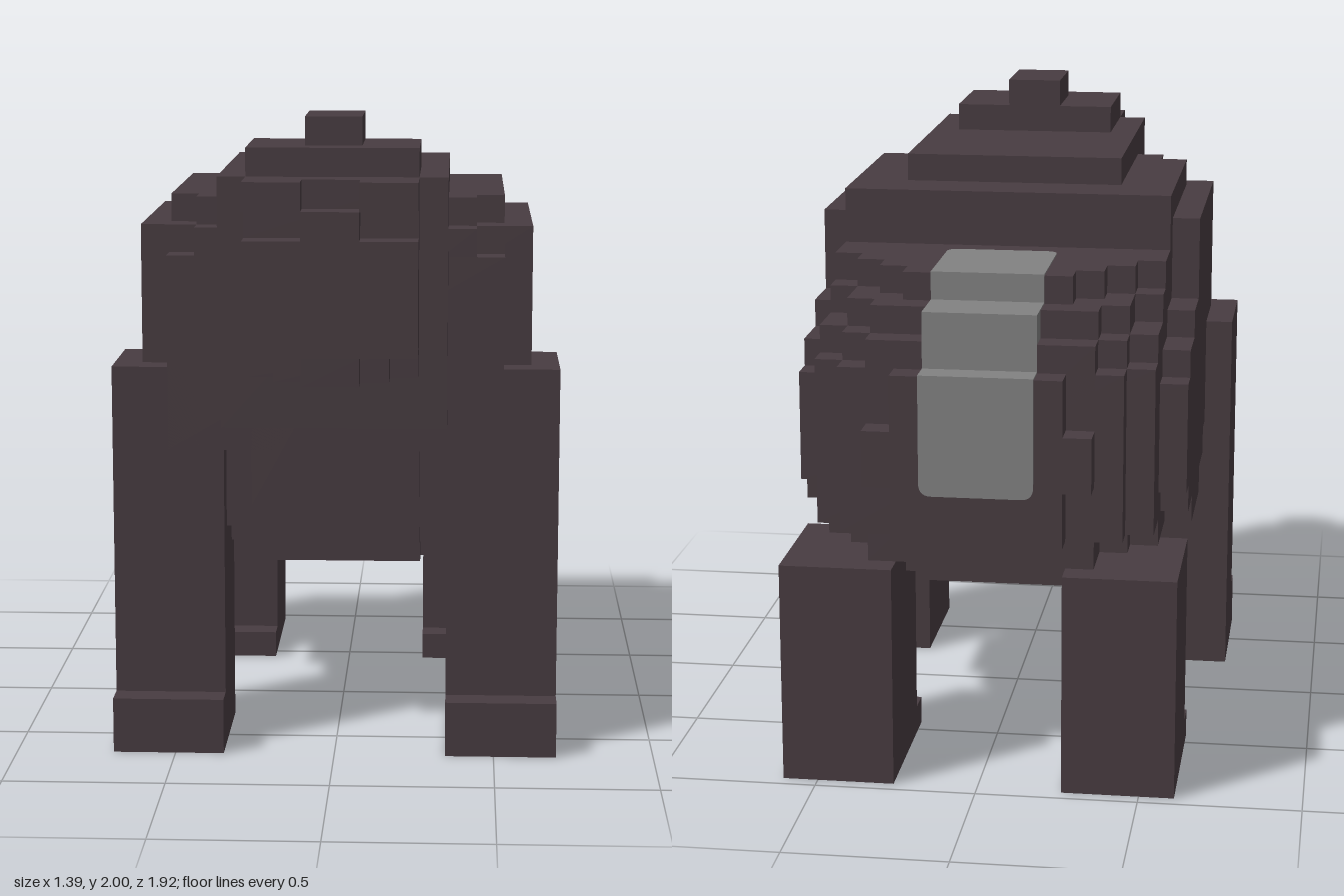
import * as THREE from 'three';

const U = 2 / 23; // one block

export function createModel() {
  const model = new THREE.Group();
  model.name = 'blockApe';
  const fur = new THREE.MeshStandardMaterial({ color: 0x483c41 });
  fur.name = 'darkFur';
  const silver = new THREE.MeshStandardMaterial({ color: 0x828282 });
  silver.name = 'silverFur';

  const add = (name, geometry, material = fur, parent = model) => {
    const mesh = new THREE.Mesh(geometry, material);
    mesh.name = name;
    parent.add(mesh);
    return mesh;
  };
  // Box given by its limits in blocks
  const box = (name, x0, x1, y0, y1, z0, z1, material = fur, parent = model) => {
    const g = new THREE.BoxGeometry((x1 - x0) * U, (y1 - y0) * U, (z1 - z0) * U);
    g.translate((x0 + x1) / 2 * U, (y0 + y1) / 2 * U, (z0 + z1) / 2 * U);
    return add(name, g, material, parent);
  };
  // Side outline of [z, y] points, extruded across the body from -w to w
  const slab = (name, w, points, parent) => {
    const shape = new THREE.Shape(points.map(([z, y]) => new THREE.Vector2(z * U, y * U)));
    const g = new THREE.ExtrudeGeometry(shape, { depth: 2 * w * U, bevelEnabled: false });
    g.translate(0, 0, -w * U);
    g.rotateY(-Math.PI / 2);
    add(name, g, fur, parent);
  };

  // Torso: nested stepped outlines, widest first
  const torso = new THREE.Group();
  torso.name = 'torso';
  model.add(torso);
  slab('flanks', 7, [[6, 10], [6, 19], [-2, 19], [-2, 16], [-4, 16], [-4, 15], [-6, 15], [-6, 14],
    [-7, 14], [-7, 10], [-6, 10], [-6, 9], [-4, 9], [-4, 8], [0, 8], [0, 9], [2, 9], [2, 10]], torso);
  slab('ribs', 6, [[7, 11], [7, 18], [6, 18], [6, 19], [5, 19], [5, 20], [-3, 20], [-3, 18], [-5, 18],
    [-5, 17], [-6, 17], [-6, 16], [-8, 16], [-8, 15], [-9, 15], [-9, 9], [-7, 9], [-7, 8], [3, 8],
    [3, 9], [5, 9], [5, 11]], torso);
  slab('shoulders', 5, [[7, 11], [7, 19], [6, 19], [6, 20], [-3, 20], [-3, 18], [-6, 18], [-6, 17],
    [-8, 17], [-8, 16], [-9, 16], [-9, 15], [-10, 15], [-10, 9], [-8, 9], [-8, 7], [3, 7], [3, 8],
    [5, 8], [5, 11]], torso);
  slab('back', 4, [[7, 11], [7, 20], [-3, 20], [-3, 18], [-7, 18], [-7, 17], [-9, 17], [-9, 16],
    [-10, 16], [-10, 8], [-8, 8], [-8, 7], [-6, 7], [-6, 6], [2, 6], [2, 7], [4, 7], [4, 8], [6, 8],
    [6, 11]], torso);
  slab('chest', 3, [[7, 9], [7, 20], [-3, 20], [-3, 18], [-8, 18], [-8, 17], [-9, 17], [-9, 16],
    [-10, 16], [-10, 15], [-11, 15], [-11, 9], [-10, 9], [-10, 8], [-6, 8], [-6, 6], [3, 6], [3, 7],
    [5, 7], [5, 8], [6, 8], [6, 9]], torso);
  box('rump', -4, 4, 11, 13, -11, -10, fur, torso);

  // Head and neck
  const head = new THREE.Group();
  head.name = 'head';
  model.add(head);
  const part = (name, ...limits) => box(name, ...limits, fur, head);
  part('hump', -4, 4, 20, 21, -1, 8);
  part('neck', -4, 4, 12, 21, 7, 8);
  part('skull', -4, 4, 15, 21, 8, 9);
  part('muzzle', -3, 3, 15, 19, 8, 11);
  part('eyeSockets', -3, 3, 19, 21, 8, 10);
  part('noseBridge', -1, 1, 19, 20, 10, 11);
  part('jaw', -3, 3, 14, 15, 8, 9);
  part('lip', -2, 2, 14, 15, 9, 10);
  part('chin', -1, 1, 14, 15, 9, 11);
  part('crown', -3, 3, 21, 22, 5, 9);
  part('crest', -1, 1, 22, 23, 5, 8);
  for (const s of [-1, 1]) part('brow', s * 2 - 1, s * 2 + 1, 20, 21, 10, 11);

  // Limbs
  for (const s of [-1, 1]) {
    const side = s > 0 ? 'left' : 'right';
    const limb = (name, a, b, ...rest) =>
      box(side + name, Math.min(s * a, s * b), Math.max(s * a, s * b), ...rest);
    limb('Arm', 4, 8, 0, 14, 3, 7);
    limb('Hand', 4, 8, 0, 2, 7, 8);
    limb('HindLeg', 3, 7, 0, 8, -11, -6);
    limb('HindToes', 3, 7, 0, 1, -6, -5);
  }

  // Silver saddle: one raised block and thin plates down the stepped back
  box('saddleBlock', -1.99, 1.99, 16, 17, -10, -9, silver);
  const t = 0.05;
  box('saddleStep', -2, 2, 17, 18, -8 - t, -8, silver);
  box('saddleMiddle', -2, 2, 17, 17 + t, -10 - t, -8, silver);
  box('saddleDrop', -2, 2, 15, 17 + t, -10 - t, -10, silver);
  box('saddleLedge', -2, 2, 15, 15 + t, -11 - t, -10, silver);
  // Plate with two rounded corners, hanging down from y = 0
  const plate = (length) => {
    const r = 0.45 * U, w = 2 * U, l = length * U;
    const s = new THREE.Shape();
    s.moveTo(-w, 0);
    s.lineTo(-w, -l + r);
    s.quadraticCurveTo(-w, -l, -w + r, -l);
    s.lineTo(w - r, -l);
    s.quadraticCurveTo(w, -l, w, -l + r);
    s.lineTo(w, 0);
    return new THREE.ExtrudeGeometry(s, { depth: t * U, bevelEnabled: false });
  };
  const upper = add('saddleTop', plate(4 + t), silver);
  upper.rotation.x = -Math.PI / 2;
  upper.position.set(0, 18 * U, (-8 - t) * U);
  const lower = add('saddleRear', plate(4.3), silver);
  lower.position.set(0, (15 + t) * U, (-11 - t) * U);

  return model;
}
